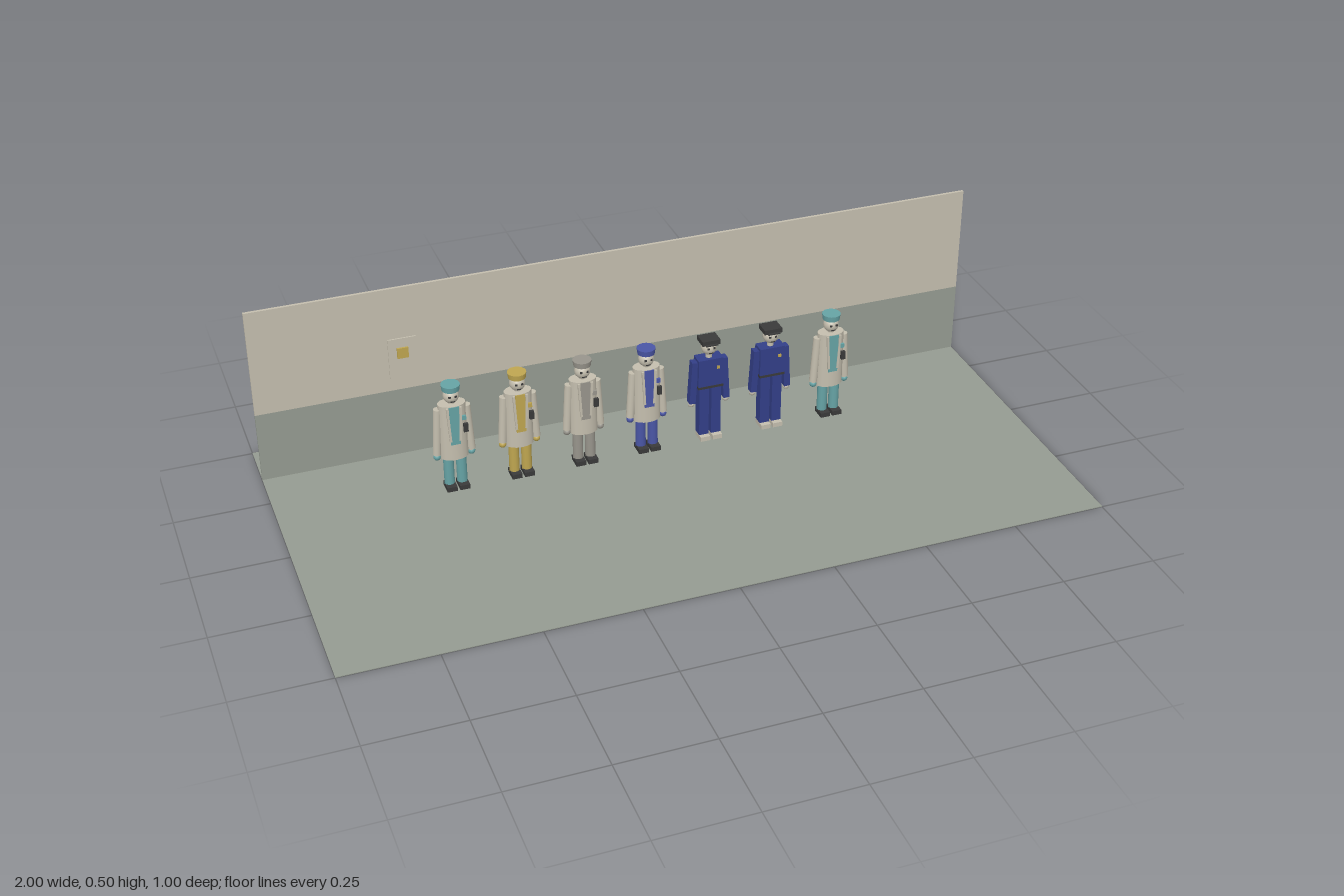
import * as THREE from 'three';

const mat = (name, color) => {
  const m = new THREE.MeshStandardMaterial({ color });
  m.name = name;
  return m;
};

export function createModel() {
  const M = {
    cream: mat('cream', 0xc4beae), sage: mat('sage', 0x959b91), teal: mat('teal', 0x66a3a5),
    yellow: mat('yellow', 0xbfa650), grey: mat('grey', 0x98958c), blue: mat('blue', 0x4a56a6),
    navy: mat('navy', 0x333f88), dark: mat('dark', 0x3a3a3a),
  };
  const root = new THREE.Group();
  root.name = 'lineUp';

  const add = (parent, name, geo, m, x, y, z) => {
    const mesh = new THREE.Mesh(geo, m);
    mesh.name = name;
    mesh.position.set(x, y, z);
    parent.add(mesh);
    return mesh;
  };
  const box = (p, name, m, w, h, d, x, y, z) => add(p, name, new THREE.BoxGeometry(w, h, d), m, x, y, z);
  const cyl = (p, name, m, rt, rb, h, x, y, z, n = 12) =>
    add(p, name, new THREE.CylinderGeometry(rt, rb, h, n), m, x, y, z);

  // Floor, two-tone wall and notice board
  box(root, 'floor', M.sage, 2, 0.002, 1, 0, 0.001, 0);
  box(root, 'lowerWall', M.sage, 2, 0.198, 0.008, 0, 0.101, -0.366);
  box(root, 'upperWall', M.cream, 2, 0.3, 0.008, 0, 0.35, -0.366);
  box(root, 'noticeBoard', M.cream, 0.075, 0.115, 0.004, -0.605, 0.297, -0.358);
  box(root, 'noticeEmblem', M.yellow, 0.03, 0.03, 0.005, -0.605, 0.313, -0.3535);

  // Head with eyes and mouth, shared by everyone
  const addHead = (g) => {
    cyl(g, 'neck', M.cream, 0.009, 0.009, 0.02, 0, 0.253, 0);
    add(g, 'head', new THREE.SphereGeometry(0.021, 16, 12), M.cream, 0, 0.277, 0);
    for (const s of [-1, 1]) box(g, 'eye', M.dark, 0.006, 0.005, 0.003, s * 0.008, 0.281, 0.0185);
    box(g, 'mouth', M.dark, 0.012, 0.003, 0.003, 0, 0.267, 0.0175);
  };

  // Person in a long open coat, with coloured clothes and a round cap
  const addCoatPerson = (x, color) => {
    const g = new THREE.Group();
    g.name = 'coatPerson';
    g.position.set(x, 0, -0.166);
    for (const s of [-1, 1]) {
      box(g, 'shoe', M.dark, 0.027, 0.014, 0.042, s * 0.017, 0.008, 0.007);
      cyl(g, 'leg', color, 0.014, 0.014, 0.1, s * 0.017, 0.062, 0);
      const arm = cyl(g, 'sleeve', M.cream, 0.011, 0.011, 0.135, s * 0.042, 0.175, 0);
      arm.rotation.z = s * 0.06;
      add(g, 'hand', new THREE.SphereGeometry(0.01, 10, 8), color, s * 0.046, 0.1, 0);
    }
    cyl(g, 'coat', M.cream, 0.037, 0.038, 0.16, 0, 0.175, 0, 16).scale.z = 0.66;
    box(g, 'shirtFront', color, 0.026, 0.112, 0.004, 0, 0.198, 0.0235);
    for (const s of [-1, 1]) {
      const lapel = box(g, 'lapel', M.cream, 0.006, 0.1, 0.006, s * 0.015, 0.202, 0.0235);
      lapel.rotation.z = -s * 0.05;
    }
    box(g, 'pocketDevice', M.dark, 0.012, 0.024, 0.008, 0.029, 0.187, 0.0225);
    box(g, 'badge', color, 0.012, 0.012, 0.006, 0.025, 0.217, 0.0215);
    addHead(g);
    cyl(g, 'cap', color, 0.025, 0.023, 0.016, 0, 0.302, 0, 16);
    root.add(g);
  };

  // Person in a navy uniform with a flat square cap
  const addUniformPerson = (x) => {
    const g = new THREE.Group();
    g.name = 'uniformPerson';
    g.position.set(x, 0, -0.166);
    for (const s of [-1, 1]) {
      box(g, 'shoe', M.cream, 0.027, 0.014, 0.042, s * 0.017, 0.008, 0.007);
      box(g, 'leg', M.navy, 0.027, 0.15, 0.028, s * 0.017, 0.09, 0);
      const arm = box(g, 'sleeve', M.navy, 0.017, 0.125, 0.022, s * 0.045, 0.178, 0);
      arm.rotation.z = s * 0.06;
      add(g, 'hand', new THREE.SphereGeometry(0.009, 10, 8), M.cream, s * 0.049, 0.11, 0);
    }
    box(g, 'jacket', M.navy, 0.07, 0.088, 0.038, 0, 0.204, 0);
    box(g, 'belt', M.dark, 0.071, 0.007, 0.039, 0, 0.164, 0);
    box(g, 'chestBadge', M.yellow, 0.008, 0.008, 0.004, 0.02, 0.222, 0.02);
    addHead(g);
    box(g, 'cap', M.dark, 0.05, 0.013, 0.042, 0, 0.299, 0);
    box(g, 'capVisor', M.dark, 0.034, 0.003, 0.012, 0, 0.294, 0.021);
    root.add(g);
  };

  // Seven evenly spaced people
  const colors = [M.teal, M.yellow, M.grey, M.blue, null, null, M.teal];
  colors.forEach((c, i) => {
    const x = -0.53 + i * 0.1755;
    if (c) addCoatPerson(x, c);
    else addUniformPerson(x);
  });
  return root;
}
